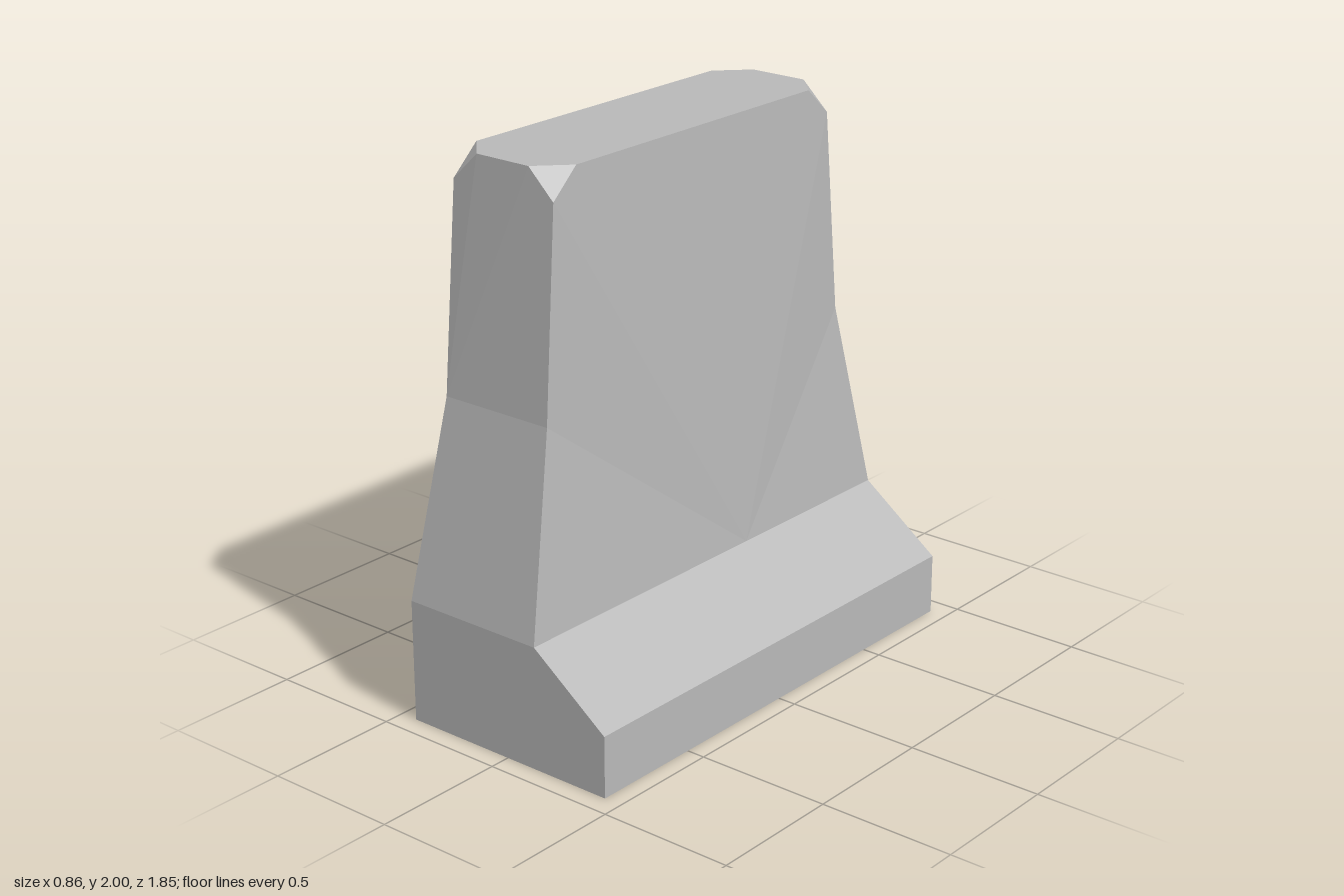
import * as THREE from 'three';

// Flat-shaded geometry from convex polygons, each fanned from its first corner
function fromPolygons(polygons) {
  const positions = [];
  for (const p of polygons) {
    for (let i = 1; i < p.length - 1; i++) positions.push(...p[0], ...p[i], ...p[i + 1]);
  }
  const geometry = new THREE.BufferGeometry();
  geometry.setAttribute('position', new THREE.Float32BufferAttribute(positions, 3));
  geometry.computeVertexNormals();
  return geometry;
}

export function createModel() {
  const model = new THREE.Group();
  model.name = 'barrierBlock';
  const concrete = new THREE.MeshStandardMaterial({ color: 0xb8b8b8 });
  concrete.name = 'concrete grey';

  // Base with a sloping ledge on the left
  const profile = new THREE.Shape([
    [-0.432, 0], [0.432, 0], [0.432, 0.225], [0.13, 0.45], [-0.432, 0.45],
  ].map(([x, y]) => new THREE.Vector2(x, y)));
  const baseGeometry = new THREE.ExtrudeGeometry(profile, { depth: 1.846, bevelEnabled: false });
  baseGeometry.translate(0, 0, -0.923);
  const base = new THREE.Mesh(baseGeometry, concrete);
  base.name = 'base';
  model.add(base);

  // Corners of one end of the upper wall; s = 1 for the front, -1 for the back
  const end = (s) => ({
    footR: [-0.432, 0.45, 0.923 * s], footL: [0.13, 0.45, 0.923 * s],
    waistR: [-0.38, 1.16, 0.775 * s], waistL: [0.07, 1.16, 0.775 * s],
    neckR: [-0.375, 1.9, 0.715 * s], neckL: [0.06, 1.9, 0.715 * s],
    endR: [-0.27, 2, 0.714 * s], endL: [-0.045, 2, 0.714 * s],
    sideR: [-0.375, 2, 0.605 * s], sideL: [0.06, 2, 0.605 * s],
  });
  const f = end(1);
  const b = end(-1);
  const polygons = [];

  // End faces and clipped corners, mirrored front to back
  for (const [e, flip] of [[f, false], [b, true]]) {
    const faces = [
      [e.footR, e.footL, e.waistL, e.waistR],
      [e.waistR, e.waistL, e.neckL, e.endL, e.endR, e.neckR],
      [e.neckL, e.sideL, e.endL],
      [e.neckR, e.endR, e.sideR],
    ];
    for (const face of faces) polygons.push(flip ? face.reverse() : face);
  }

  // Top
  polygons.push([f.endR, f.endL, f.sideL, b.sideL, b.endL, b.endR, b.sideR, f.sideR]);

  // Right face, bent at the waist
  polygons.push([b.footR, f.footR, f.waistR, b.waistR]);
  polygons.push([b.waistR, f.waistR, f.neckR, f.sideR, b.sideR, b.neckR]);

  // Left face, fanned from a point on its lower edge
  polygons.push([[0.13, 0.45, -0.19], b.footL, b.waistL, b.neckL, b.sideL,
    f.sideL, f.neckL, f.waistL, f.footL]);

  const wall = new THREE.Mesh(fromPolygons(polygons), concrete);
  wall.name = 'upperWall';
  model.add(wall);
  return model;
}
